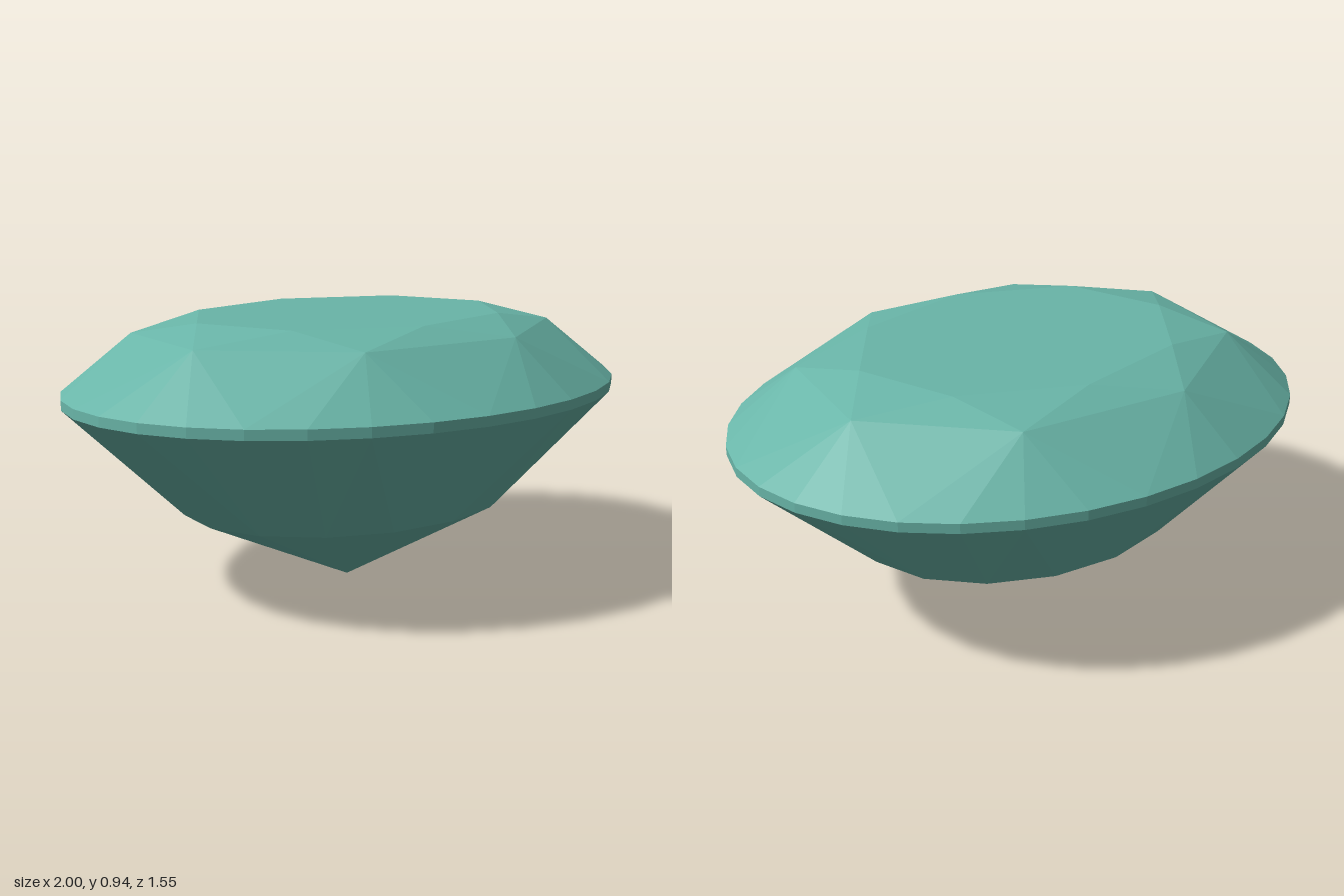
import * as THREE from 'three';

const DEPTH = 0.777; // oval ratio of z to x
const CENTRE = new THREE.Vector3(0, 0.6, 0);

// Ring of points on an oval, with an optional offset as a fraction of a step
function ring(count, radius, y, offset = 0) {
  return Array.from({ length: count }, (_, i) => {
    const a = ((i + offset) / count) * Math.PI * 2;
    return new THREE.Vector3(Math.cos(a) * radius, y, Math.sin(a) * radius * DEPTH);
  });
}

// Flat facets from triangles, each turned to face away from the middle of the gem
function facets(name, triangles, material) {
  const points = [];
  for (const [a, b, c] of triangles) {
    const normal = b.clone().sub(a).cross(c.clone().sub(a));
    const outward = a.clone().add(b).add(c).divideScalar(3).sub(CENTRE);
    points.push(...(normal.dot(outward) > 0 ? [a, b, c] : [a, c, b]));
  }
  const geometry = new THREE.BufferGeometry().setFromPoints(points);
  geometry.computeVertexNormals();
  const mesh = new THREE.Mesh(geometry, material);
  mesh.name = name;
  return mesh;
}

export function createModel() {
  const gem = new THREE.Group();
  gem.name = 'gem';
  const green = new THREE.MeshStandardMaterial({ color: 0x69b5a8 });
  green.name = 'sea green';

  const table = ring(8, 0.572, 0.937);
  const shoulder = ring(8, 0.759, 0.89, 0.5);
  const girdleTop = ring(32, 1, 0.705);
  const girdleBottom = ring(32, 1, 0.672);
  const waist = ring(16, 0.6, 0.283, 0.5);
  const tableCentre = new THREE.Vector3(0, 0.937, 0);
  const tip = new THREE.Vector3(0, 0, 0);

  const tableTris = [], crownTris = [], girdleTris = [], lowerTris = [], tipTris = [];

  // Table, star, kite and upper girdle facets
  for (let i = 0; i < 8; i++) {
    const n = (i + 1) % 8, m = shoulder[i], next = shoulder[n];
    tableTris.push([tableCentre, table[i], table[n]]);
    crownTris.push([table[i], table[n], m]);
    crownTris.push([table[n], m, next], [m, next, girdleTop[n * 4]]);
    for (let j = 0; j < 4; j++) {
      crownTris.push([m, girdleTop[i * 4 + j], girdleTop[(i * 4 + j + 1) % 32]]);
    }
  }

  // Thin upright girdle band
  for (let i = 0; i < 32; i++) {
    const n = (i + 1) % 32;
    girdleTris.push([girdleTop[i], girdleTop[n], girdleBottom[i]]);
    girdleTris.push([girdleTop[n], girdleBottom[n], girdleBottom[i]]);
  }

  // Lower facets down to the waist, then to the tip
  for (let i = 0; i < 16; i++) {
    const w = waist[i], next = waist[(i + 1) % 16];
    const g0 = girdleBottom[i * 2], g1 = girdleBottom[i * 2 + 1], g2 = girdleBottom[(i * 2 + 2) % 32];
    lowerTris.push([w, g0, g1], [w, g1, g2], [w, next, g2]);
    tipTris.push([w, next, tip]);
  }

  gem.add(
    facets('table', tableTris, green),
    facets('crown', crownTris, green),
    facets('girdle', girdleTris, green),
    facets('upperPavilion', lowerTris, green),
    facets('pavilionTip', tipTris, green)
  );
  return gem;
}
